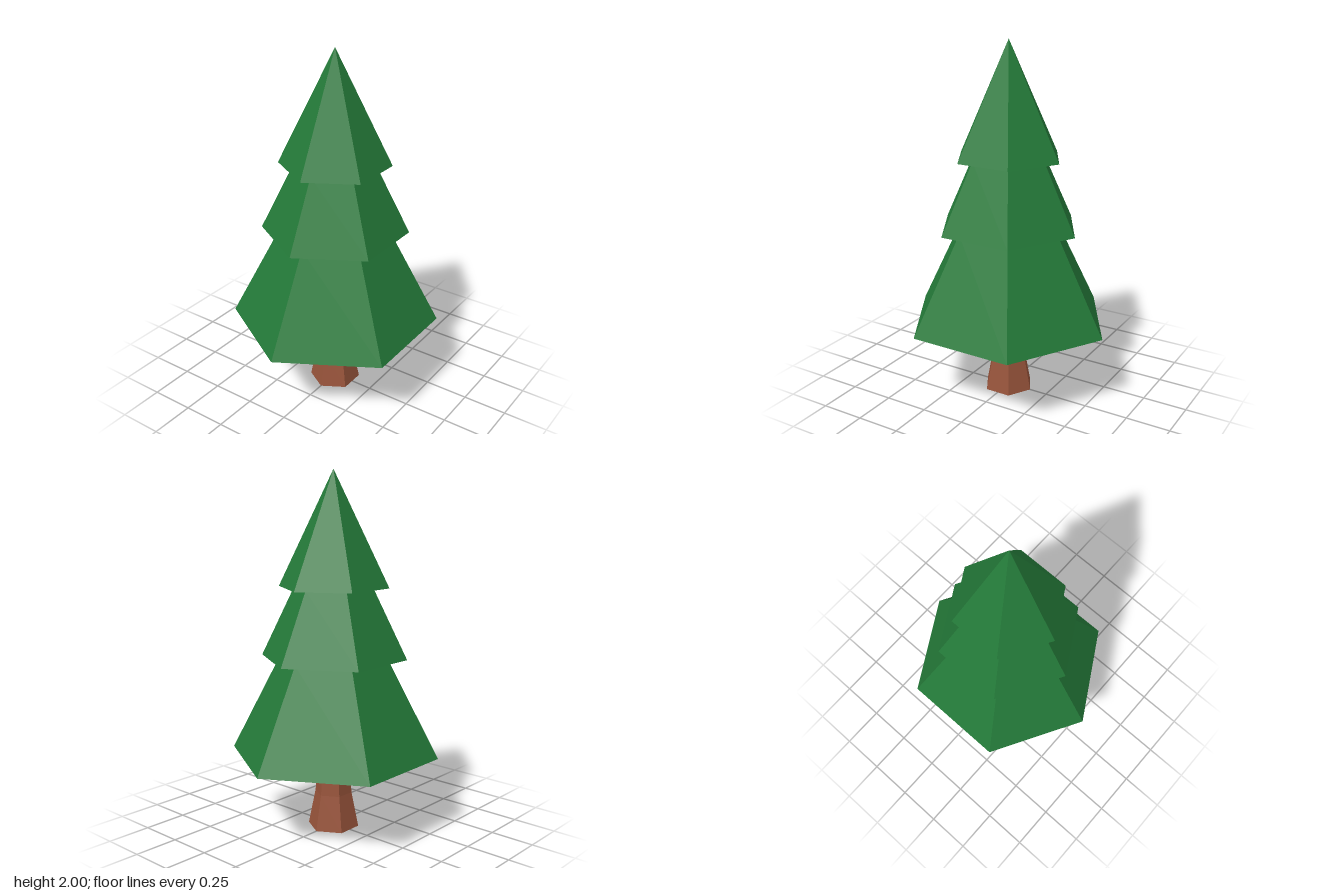
import * as THREE from 'three';

export function createModel() {
  const tree = new THREE.Group();
  tree.name = 'pineTree';

  const foliage = new THREE.MeshStandardMaterial({ color: 0x247a39 });
  foliage.name = 'foliageGreen';
  const bark = new THREE.MeshStandardMaterial({ color: 0x97533a });
  bark.name = 'barkBrown';

  // Six-sided solid with corners on the z axis and crisp facets;
  // profile runs from bottom to top as [radius, height]
  function hexSolid(name, profile, material) {
    const points = profile.map(([r, y]) => new THREE.Vector2(r, y));
    const geometry = new THREE.LatheGeometry(points, 6).toNonIndexed();
    geometry.computeVertexNormals();
    const mesh = new THREE.Mesh(geometry, material);
    mesh.name = name;
    tree.add(mesh);
  }

  // Trunk flaring out towards the ground
  hexSolid('trunk', [[0, 0], [0.145, 0], [0.105, 0.2], [0.085, 0.43]], bark);

  // Three stacked skirts of branches, each with a flat underside
  hexSolid('lowerBranches', [[0, 0.43], [0.59, 0.43], [0.305, 0.98]], foliage);
  hexSolid('middleBranches', [[0, 0.98], [0.41, 0.98], [0.22, 1.37]], foliage);
  hexSolid('topBranches', [[0, 1.37], [0.308, 1.37], [0, 2]], foliage);

  return tree;
}
